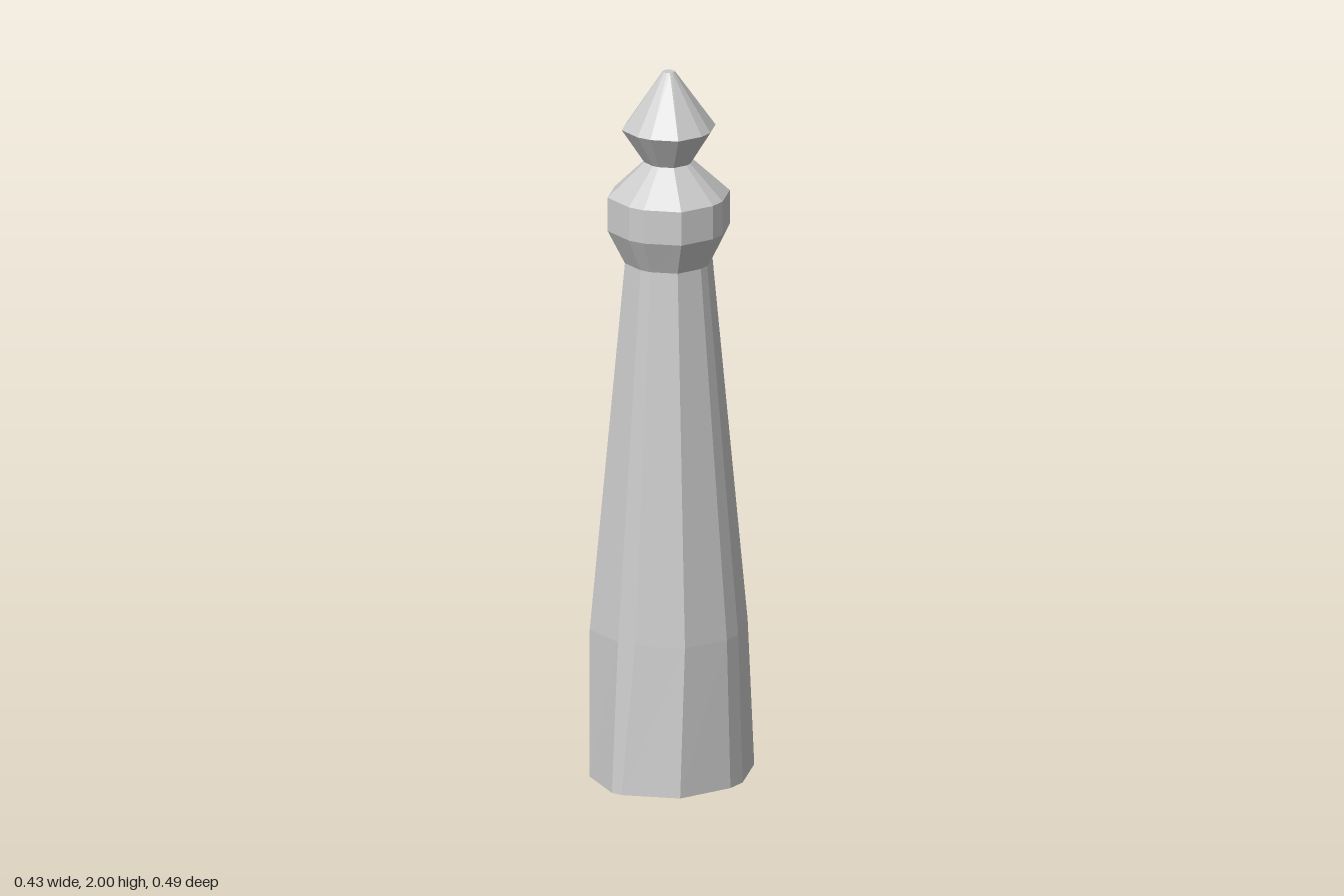
import * as THREE from 'three';

const CX = -0.008; // axis of the post

// Octagon with clipped axis corners: R = reach on the axes, d = diagonal corner, h = half width of the clip
function ring(y, R, d = R * 0.75, h = R * 0.15) {
  const pts = [];
  const quarter = [[R, h], [d, d], [h, R]];
  for (let q = 0; q < 4; q++) {
    for (const [a, b] of quarter) {
      const [x, z] = [[a, b], [-b, a], [-a, -b], [b, -a]][q];
      pts.push(new THREE.Vector3(CX + x, y, z));
    }
  }
  return pts;
}

// Skin a stack of rings (bottom to top), optionally closing the ends
function loft(name, rings, capBottom = false, capTop = false) {
  const pos = [];
  const tri = (...v) => v.forEach(p => pos.push(p.x, p.y, p.z));
  const n = rings[0].length;
  const centre = r => r.reduce((s, p) => s.add(p), new THREE.Vector3()).divideScalar(n);
  const last = rings[rings.length - 1];
  for (let i = 0; i < n; i++) {
    const j = (i + 1) % n;
    for (let k = 0; k < rings.length - 1; k++) {
      const lo = rings[k], up = rings[k + 1];
      tri(lo[i], up[i], lo[j]);
      tri(lo[j], up[i], up[j]);
    }
    if (capBottom) tri(centre(rings[0]), rings[0][i], rings[0][j]);
    if (capTop) tri(centre(last), last[j], last[i]);
  }
  const geo = new THREE.BufferGeometry();
  geo.setAttribute('position', new THREE.Float32BufferAttribute(pos, 3));
  geo.computeVertexNormals();
  const mesh = new THREE.Mesh(geo, new THREE.MeshStandardMaterial({ color: 0xcccccc, flatShading: true }));
  mesh.name = name;
  return mesh;
}

export function createModel() {
  const group = new THREE.Group();
  group.name = 'post';

  // Uneven foot outline, in the same corner order as ring()
  const foot = [
    [0.213, 0.03], [0.15, 0.183], [0, 0.245],
    [-0.033, 0.243], [-0.163, 0.155], [-0.216, 0.028],
    [-0.216, -0.028], [-0.163, -0.155], [-0.033, -0.21],
    [0, -0.245], [0.15, -0.183], [0.213, -0.03],
  ].map(([x, z]) => new THREE.Vector3(x, 0, z));

  const waist = () => ring(0.42, 0.208, 0.155, 0.028);
  const throat = () => ring(1.46, 0.115, 0.086, 0.016);
  const neck = () => ring(1.745, 0.064);

  group.add(loft('base', [foot, waist()], true));
  group.add(loft('shaft', [waist(), throat()]));
  group.add(loft('collar', [
    throat(), ring(1.555, 0.16, 0.12, 0.024), ring(1.65, 0.16, 0.12, 0.024), neck(),
  ]));
  group.add(loft('finial', [
    neck(), ring(1.84, 0.122, 0.092, 0.021), ring(2, 0.016, 0.012, 0.005),
  ], false, true));
  return group;
}
